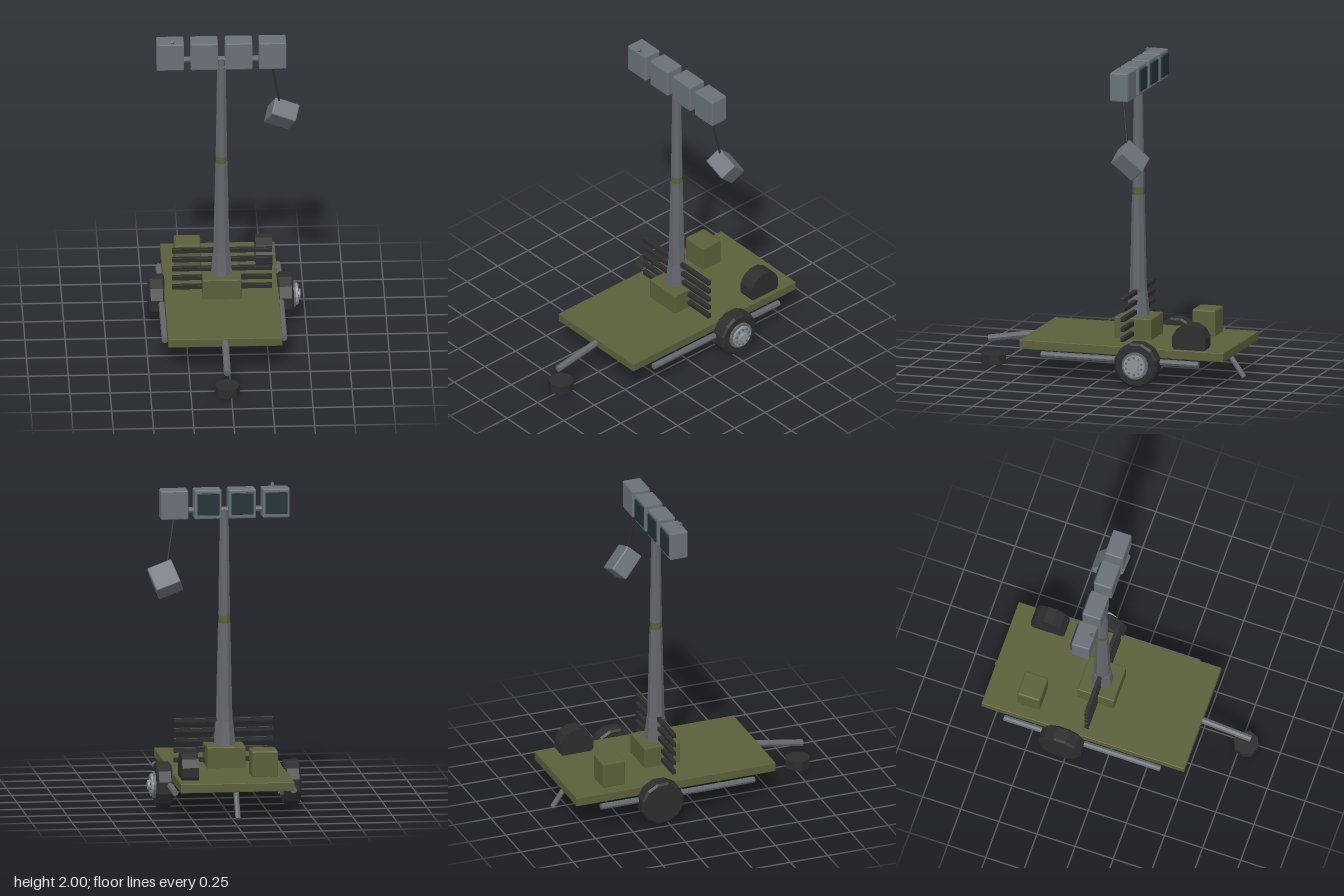
import * as THREE from 'three';
import { RoundedBoxGeometry } from 'three/addons/geometries/RoundedBoxGeometry.js';

const mat = (name, color) => {
  const m = new THREE.MeshStandardMaterial({ color, flatShading: true });
  m.name = name;
  return m;
};

export function createModel() {
  const olive = mat('olive paint', 0x5b5f39);
  const steel = mat('mast steel', 0x63676c);
  const lampGrey = mat('lamp housing grey', 0x697178);
  const rubber = mat('dark rubber', 0x2d2d2e);
  const hubGrey = mat('hub metal', 0x8d949a);
  const glass = mat('dark lens', 0x22323a);

  const root = new THREE.Group();
  root.name = 'lightTower';

  const add = (name, geo, material, x = 0, y = 0, z = 0, parent = root) => {
    const m = new THREE.Mesh(geo, material);
    m.name = name;
    m.position.set(x, y, z);
    parent.add(m);
    return m;
  };
  // Slightly bevelled box given by its limits
  const block = (name, material, x0, x1, y0, y1, z0, z1, r = 0.006) =>
    add(name, new RoundedBoxGeometry(x1 - x0, y1 - y0, z1 - z0, 1, r), material,
      (x0 + x1) / 2, (y0 + y1) / 2, (z0 + z1) / 2);
  // Straight faceted rod between two points
  const rod = (name, material, a, b, r, sides = 8) => {
    const p = new THREE.Vector3(...a), q = new THREE.Vector3(...b);
    const d = q.clone().sub(p);
    const m = add(name, new THREE.CylinderGeometry(r, r, d.length(), sides), material);
    m.position.copy(p).add(q).multiplyScalar(0.5);
    m.quaternion.setFromUnitVectors(new THREE.Vector3(0, 1, 0), d.normalize());
    return m;
  };
  // Disc or drum whose axle lies along x
  const drum = (name, material, r, x0, x1, y, z, sides, parent = root) => {
    const g = new THREE.CylinderGeometry(r, r, x1 - x0, sides);
    g.rotateZ(Math.PI / 2);
    g.rotateX(Math.PI / sides);
    return add(name, g, material, (x0 + x1) / 2, y, z, parent);
  };

  // Trailer bed and the boxes on it
  block('deck', olive, -0.38, 0.33, 0.18, 0.237, -0.83, 0.5, 0.004);
  block('mastBaseBox', olive, -0.145, 0.095, 0.23, 0.37, -0.283, -0.043);
  block('equipmentBox', olive, -0.305, -0.14, 0.23, 0.4, -0.623, -0.473, 0.01);

  // Side rails, tow bar and rear prop
  for (const x of [-0.395, 0.345])
    rod('sideRail', steel, [x, 0.158, -0.675], [x, 0.158, 0.35], 0.02);
  rod('towBar', steel, [-0.025, 0.213, 0.46], [-0.025, 0.155, 0.815], 0.022);
  rod('rearProp', steel, [-0.025, 0.19, -0.73], [-0.025, 0.017, -0.85], 0.017);
  add('frontFoot', new THREE.CylinderGeometry(0.08, 0.08, 0.06, 8), rubber, -0.025, 0.03, 0.785);

  // Road wheels, both hubs facing +x
  for (const x of [-0.425, 0.375]) {
    const wheel = new THREE.Group();
    wheel.name = 'wheel';
    wheel.position.set(x, 0.143, -0.288);
    root.add(wheel);
    const profile = [[0, -0.05], [0.13, -0.05], [0.143, -0.038], [0.143, 0.038], [0.13, 0.05], [0, 0.05]]
      .map(([r, h]) => new THREE.Vector2(r, h));
    const tyre = new THREE.LatheGeometry(profile, 12);
    tyre.rotateZ(-Math.PI / 2);
    tyre.rotateX(Math.PI / 12);
    add('tyre', tyre, rubber, 0, 0, 0, wheel);
    drum('rim', steel, 0.085, 0.045, 0.064, 0, 0, 16, wheel);
    drum('hubPlate', hubGrey, 0.07, 0.06, 0.078, 0, 0, 16, wheel);
    drum('hubCap', hubGrey, 0.032, 0.075, 0.096, 0, 0, 12, wheel);
    for (let i = 0; i < 10; i++) {
      const a = (i / 10) * Math.PI * 2;
      drum('wheelBolt', steel, 0.008, 0.075, 0.084, Math.cos(a) * 0.053, Math.sin(a) * 0.053, 6, wheel);
    }
  }

  // Spare wheel sunk into the deck
  drum('spareWheel', rubber, 0.113, 0.2, 0.305, 0.287, -0.597, 12);

  // Rack of dark slats around the mast
  for (let i = 0; i < 5; i++) {
    const y = 0.272 + i * 0.0625;
    block('rackSlat', rubber, -0.332, 0.29, y - 0.014, y + 0.014, -0.172, -0.146, 0.002);
  }

  // Tapering eight-sided mast: bottom, top, radii
  const mast = [
    ['mastSleeve', steel, 0.365, 0.515, 0.072, 0.058],
    ['lowerMast', steel, 0.51, 1.132, 0.054, 0.04],
    ['mastCollar', olive, 1.13, 1.185, 0.038, 0.037],
    ['upperMast', steel, 1.18, 1.795, 0.038, 0.029],
  ];
  for (const [name, m, y0, y1, r0, r1] of mast) {
    const g = new THREE.CylinderGeometry(r1, r0, y1 - y0, 8);
    g.rotateY(Math.PI / 8);
    add(name, g, m, -0.025, (y0 + y1) / 2, -0.16);
  }

  // Row of lamps on a cross bar; the last one has lost its lens
  rod('lampBar', steel, [-0.35, 1.845, -0.165], [0.3, 1.845, -0.165], 0.019);
  rod('mastHead', steel, [-0.025, 1.79, -0.165], [-0.025, 1.85, -0.165], 0.022);
  [-0.343, -0.132, 0.082, 0.291].forEach((x, i) => {
    block('lampHousing', lampGrey, x - 0.085, x + 0.085, 1.795, 1.978, -0.224, -0.105, 0.008);
    if (i < 3) block('lampLens', glass, x - 0.068, x + 0.068, 1.82, 1.957, -0.234, -0.222, 0.003);
  });
  rod('brokenBracket', steel, [-0.332, 1.965, -0.135], [-0.332, 1.995, -0.112], 0.012, 6);

  // Broken lamp hanging on its cable
  rod('cable', rubber, [0.288, 1.81, -0.163], [0.34, 1.5, -0.208], 0.007, 6);
  const hanging = add('hangingLamp', new RoundedBoxGeometry(0.162, 0.178, 0.116, 1, 0.008),
    lampGrey, 0.353, 1.425, -0.232);
  hanging.rotation.set(0.76, 0, -0.36, 'ZYX');

  return root;
}
